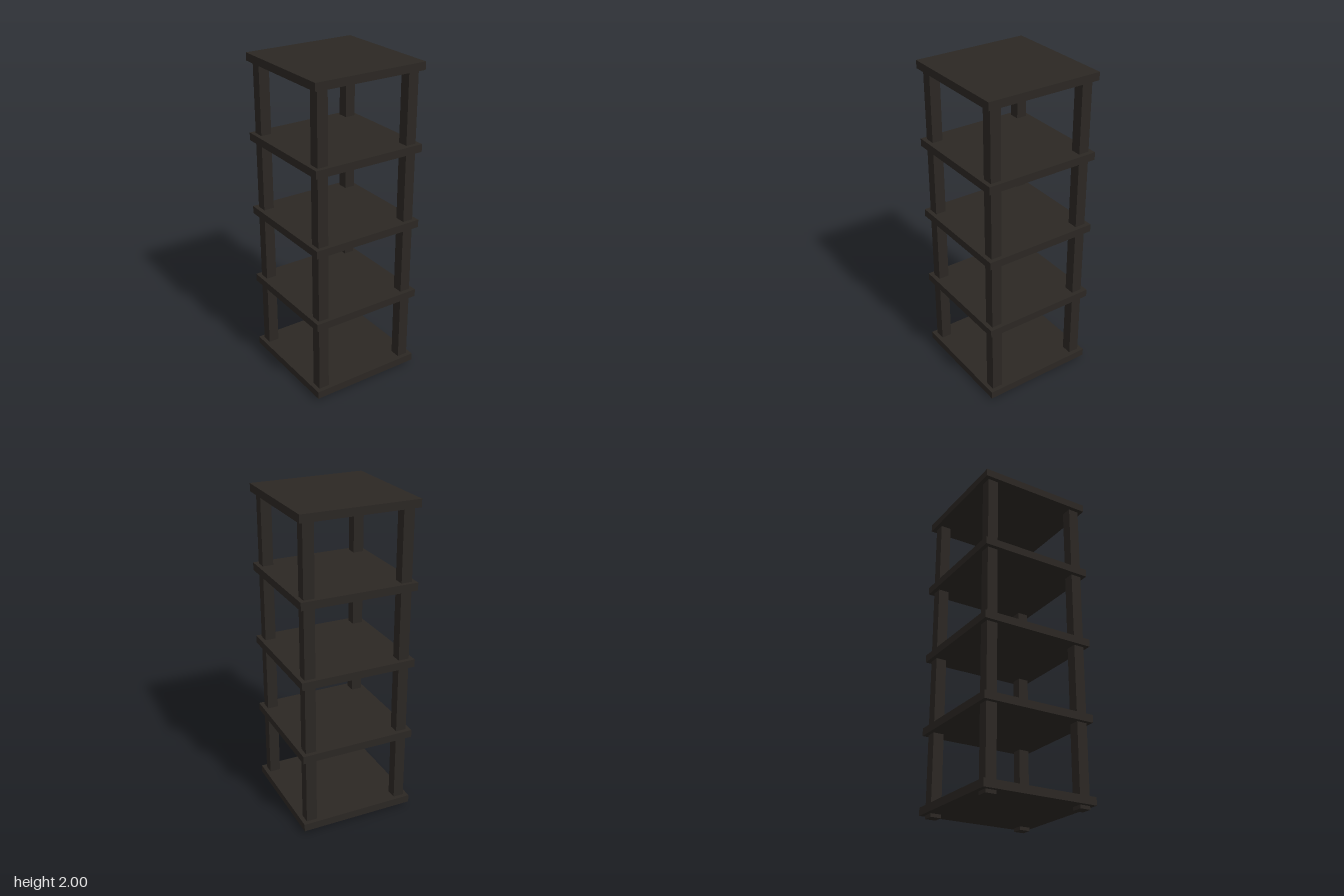
import * as THREE from 'three';

export function createModel() {
  const group = new THREE.Group();
  const material = new THREE.MeshStandardMaterial({ color: 0x2b2723 });

  const addBox = (name, size, position) => {
    const mesh = new THREE.Mesh(new THREE.BoxGeometry(...size), material);
    mesh.name = name;
    mesh.position.set(...position);
    group.add(mesh);
  };

  // Five evenly spaced square shelves
  const width = 0.724, thickness = 0.048, shelfCount = 5;
  const firstY = 0.045, lastY = 2 - thickness / 2;
  for (let i = 0; i < shelfCount; i++) {
    const y = firstY + (lastY - firstY) * i / (shelfCount - 1);
    addBox(`shelf${i + 1}`, [width, thickness, width], [0, y, 0]);
  }

  // Four square corner posts, their feet showing just below the lowest shelf
  const postHeight = 1.97, post = 0.067, inset = 0.302;
  for (const [side, x] of [['Left', inset], ['Right', -inset]]) {
    for (const [end, z] of [['front', inset], ['back', -inset]]) {
      addBox(`${end}${side}Post`, [post, postHeight, post], [x, postHeight / 2, z]);
    }
  }

  return group;
}
